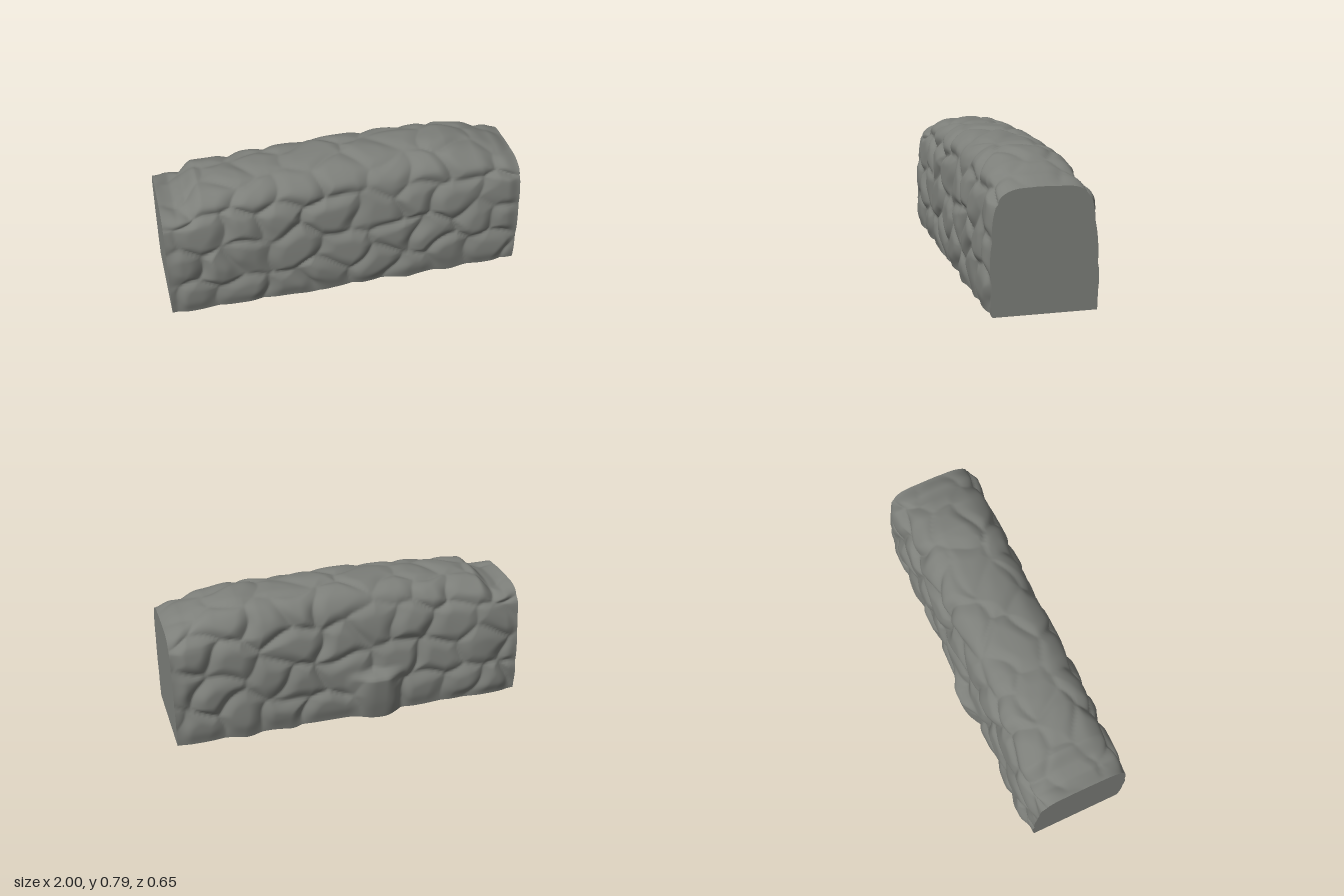
import * as THREE from 'three';

const COLS = 220, ROWS = 140;
const { lerp, smoothstep } = THREE.MathUtils;

// Cross-section from front foot over the crest to back foot: [z, y]
const profile = new THREE.CatmullRomCurve3([
  [0.288, 0.02], [0.303, 0.12], [0.304, 0.3], [0.291, 0.48], [0.272, 0.6],
  [0.244, 0.685], [0.18, 0.742], [0.09, 0.765], [-0.01, 0.768], [-0.1, 0.758],
  [-0.155, 0.732], [-0.193, 0.68], [-0.222, 0.6], [-0.245, 0.45], [-0.257, 0.3],
  [-0.262, 0.12], [-0.252, 0.02],
].map(([z, y]) => new THREE.Vector3(0, y, z)));

// Crest height along the wall: [x, y]
const crest = [[-1, 0.662], [-0.92, 0.643], [-0.86, 0.66], [-0.78, 0.73], [-0.6, 0.745], [-0.3, 0.765],
  [0, 0.78], [0.3, 0.775], [0.6, 0.775], [0.75, 0.748], [0.9, 0.7], [1, 0.662]];

function crestAt(x) {
  let i = 0;
  while (i < crest.length - 2 && x > crest[i + 1][0]) i++;
  const [x0, y0] = crest[i], [x1, y1] = crest[i + 1];
  return lerp(y0, y1, smoothstep(x, x0, x1) * 0.5 + (x - x0) / (x1 - x0) * 0.5);
}

function seeded(seed) {
  return () => {
    seed = (seed * 16807) % 2147483647;
    return seed / 2147483647;
  };
}

// Staggered, irregular courses of stones over the unrolled wall surface
function layStones(length) {
  const rand = seeded(90217), stones = [], courses = 9;
  for (let r = 0; r < courses; r++) {
    for (let c = -1; c < 9; c++) {
      stones.push({
        x: -1 + (c + 0.5 + (r % 2) * 0.5 + (rand() - 0.5) * 0.6) * 0.25,
        s: (r + 0.5 + (rand() - 0.5) * 0.45) * length / courses,
        lift: 0.6 + rand() * 0.7,
        tiltX: (rand() - 0.5) * 0.12,
        tiltS: (rand() - 0.5) * 0.16,
      });
    }
  }
  return stones;
}

// Worn stone height, with joints that fade in and out
function relief(stones, x, s) {
  const wx = x + 0.02 * Math.sin(s * 19 + x * 8), ws = s + 0.018 * Math.sin(x * 17 + s * 6);
  let d1 = 9, d2 = 9, best = stones[0];
  for (const st of stones) {
    const d = Math.hypot((wx - st.x) * 0.8, ws - st.s);
    if (d < d1) { d2 = d1; d1 = d; best = st; } else if (d < d2) d2 = d;
  }
  const edge = Math.sin(Math.PI / 2 * Math.min(1, (d2 - d1) / 0.12));
  const wear = 0.65 + 0.35 * Math.sin(x * 7.3 + s * 5.1) * Math.sin(x * 3.1 - s * 8.7);
  const tilt = best.tiltX * (wx - best.x) + best.tiltS * (ws - best.s);
  return edge * (0.014 * best.lift + tilt) - (1 - edge) * 0.024 * wear;
}

function gridGeometry(points, cols, rows) {
  const index = [];
  for (let i = 0; i < cols; i++) {
    for (let j = 0; j < rows; j++) {
      const a = i * (rows + 1) + j, b = a + rows + 1;
      index.push(a, b, b + 1, a, b + 1, a + 1);
    }
  }
  return finish(points, index);
}

function finish(points, index) {
  const g = new THREE.BufferGeometry().setFromPoints(points);
  g.setIndex(index);
  g.computeVertexNormals();
  return g;
}

const bump = (x, centre, width) => Math.exp(-(((x - centre) / width) ** 2));

// Low spots where the foot of the wall dips to the ground
const sagAt = (x) => 0.018 * (bump(x, -0.17, 0.1) + 0.7 * bump(x, 0.35, 0.06) + 0.8 * bump(x, 0.6, 0.07));

export function createModel() {
  const group = new THREE.Group();
  const stone = new THREE.MeshStandardMaterial({ color: 0x7d7f7a });
  stone.name = 'grey stone';
  const add = (name, geometry) => {
    const mesh = new THREE.Mesh(geometry, stone);
    mesh.name = name;
    group.add(mesh);
  };

  const length = profile.getLength(), stones = layStones(length);
  const base = profile.getSpacedPoints(ROWS);
  const normals = base.map((_, j) => {
    const t = profile.getTangentAt(j / ROWS);
    return new THREE.Vector3(0, -t.z, t.y);
  });

  // Wall skin: profile swept along x and pushed out by the stones
  const skin = [];
  for (let i = 0; i <= COLS; i++) {
    const x = -1 + 2 * i / COLS;
    const height = crestAt(x);
    const end = smoothstep(Math.abs(x), 0.92, 1);
    for (let j = 0; j <= ROWS; j++) {
      const p = base[j], n = normals[j];
      const top = smoothstep(p.y, 0.66, 0.75);
      const foot = smoothstep(p.y, 0.02, 0.1);
      let d = relief(stones, x, j / ROWS * length);
      d = lerp(d, d * 0.5, top);
      if (p.z < 0) d += 0.018 * bump(x, -0.77, 0.15) * (1 - top);
      d = lerp(d, -0.01 * (1 - top), end * 0.75);
      d *= 0.45 + 0.55 * foot;
      // One large block juts out low on the back
      if (p.z < 0 && p.y < 0.4) {
        const across = smoothstep(x, -0.32, -0.18) * (1 - smoothstep(x, -0.12, 0.06));
        const up = 1 - smoothstep(p.y, 0.265, 0.32);
        d = lerp(d, 0.032 + 0.14 * p.y, across * up);
      }
      // Only the upper courses follow the crest, so the ends keep square shoulders
      const shoulder = 0.57;
      const y = p.y < shoulder ? p.y : lerp(shoulder, height, (p.y - shoulder) / (0.768 - shoulder));
      skin.push(new THREE.Vector3(x, y + n.y * d * foot - sagAt(x) * (1 - foot), p.z + n.z * d));
    }
  }
  add('stoneWall', gridGeometry(skin, COLS, ROWS));

  // Underside closing the two feet
  const under = [], steps = 8;
  for (let i = 0; i <= COLS; i++) {
    const front = skin[i * (ROWS + 1)], back = skin[i * (ROWS + 1) + ROWS];
    for (let k = 0; k <= steps; k++) under.push(back.clone().lerp(front, k / steps));
  }
  add('underside', gridGeometry(under, COLS, steps));

  // Flat cut ends
  for (const [name, col] of [['rightEnd', 0], ['leftEnd', COLS]]) {
    const rim = skin.slice(col * (ROWS + 1), (col + 1) * (ROWS + 1)).map((p) => p.clone());
    const centre = rim.length, index = [];
    rim.push(new THREE.Vector3(rim[0].x, 0.3, 0.02));
    for (let j = 0; j < centre; j++) {
      const k = (j + 1) % centre;
      index.push(centre, ...(col ? [k, j] : [j, k]));
    }
    add(name, finish(rim, index));
  }

  // Stand on the ground, centred in depth
  const box = new THREE.Box3().setFromObject(group);
  for (const mesh of group.children) {
    mesh.geometry.translate(0, -box.min.y, -(box.min.z + box.max.z) / 2);
  }
  return group;
}
